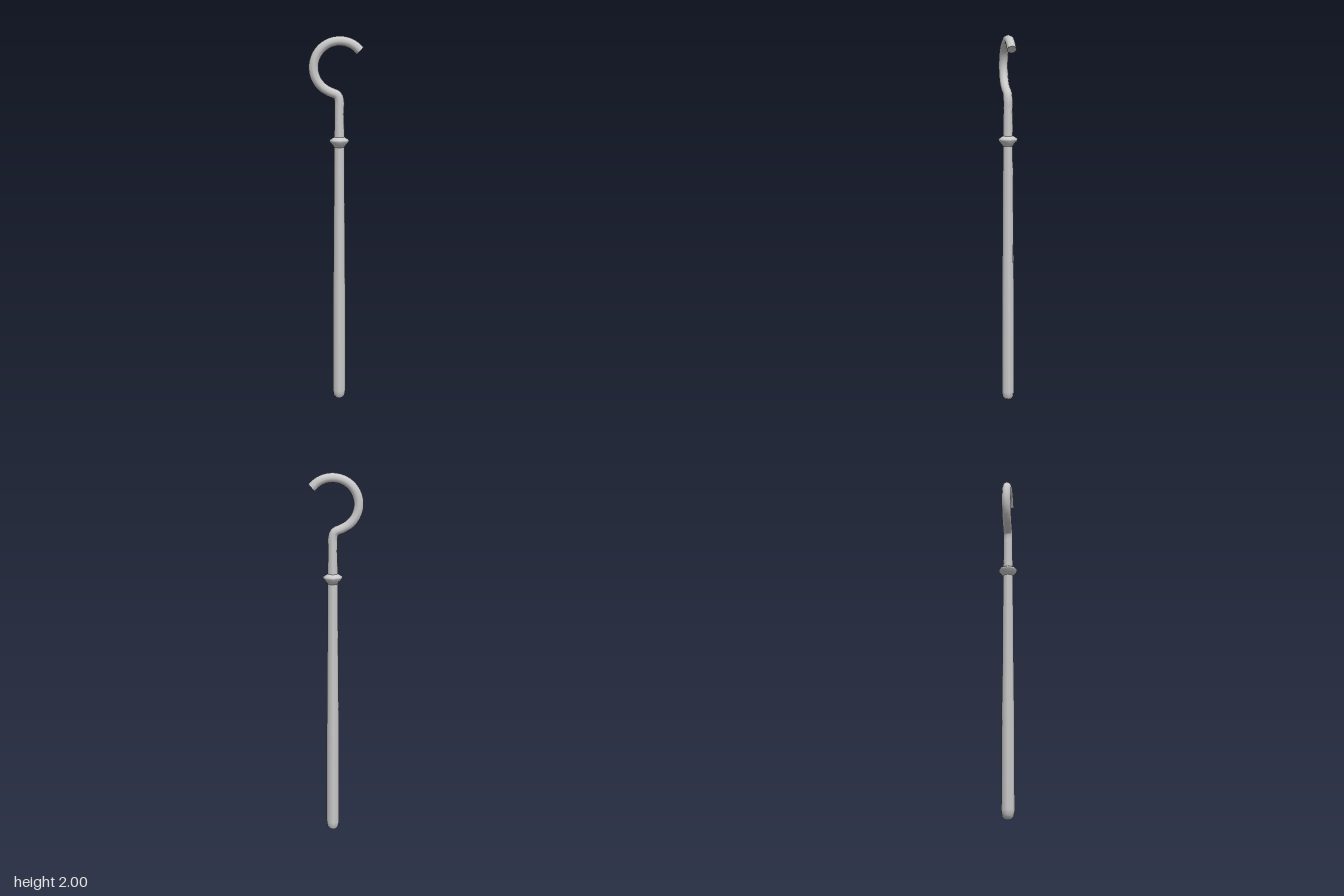
import * as THREE from 'three';

const SIDES = 8;
const AXIS_X = 0.018;

export function createModel() {
  const group = new THREE.Group();
  const material = new THREE.MeshStandardMaterial({ color: 0xcccccc });

  const add = (name, geometry) => {
    const mesh = new THREE.Mesh(geometry, material);
    mesh.name = name;
    group.add(mesh);
    return mesh;
  };
  // Turned part around the shaft axis, profile given as [radius, y] from bottom to top
  const turned = (name, profile) => {
    const points = profile.map(([r, y]) => new THREE.Vector2(r, y));
    add(name, new THREE.LatheGeometry(points, SIDES)).position.x = AXIS_X;
  };

  // Long handle, slightly tapered, with a rounded foot
  turned('handle', [
    [0, 0], [0.02, 0.003], [0.03, 0.015], [0.035, 0.045],
    [0.034, 0.6], [0.031, 0.9], [0.028, 1.43],
  ]);

  // Flared collar between handle and hook
  turned('collar', [
    [0.027, 1.405], [0.036, 1.418], [0.052, 1.436],
    [0.052, 1.447], [0.038, 1.456], [0.027, 1.462],
  ]);

  // Tapered neck above the collar
  turned('neck', [[0.029, 1.44], [0.027, 1.5], [0.0255, 1.62]]);

  // Hook: bends out of the neck, then follows a circle round to the tip
  const radius = 0.14;
  const path = [
    new THREE.Vector3(AXIS_X, 1.61, 0),
    new THREE.Vector3(AXIS_X, 1.655, 0),
    new THREE.Vector3(0.008, 1.685, 0),
  ];
  for (let i = 0; i <= 12; i++) {
    const a = THREE.MathUtils.degToRad(THREE.MathUtils.lerp(248, 39, i / 12));
    path.push(new THREE.Vector3(0.02 + radius * Math.cos(a), 1.834 + radius * Math.sin(a), 0));
  }
  const curve = new THREE.CatmullRomCurve3(path);
  add('hook', new THREE.TubeGeometry(curve, 48, 0.026, SIDES));

  // Flat end of the hook
  const tip = add('hookTip', new THREE.CircleGeometry(0.026, SIDES));
  tip.position.copy(curve.getPoint(1));
  tip.quaternion.setFromUnitVectors(new THREE.Vector3(0, 0, 1), curve.getTangent(1));

  return group;
}
